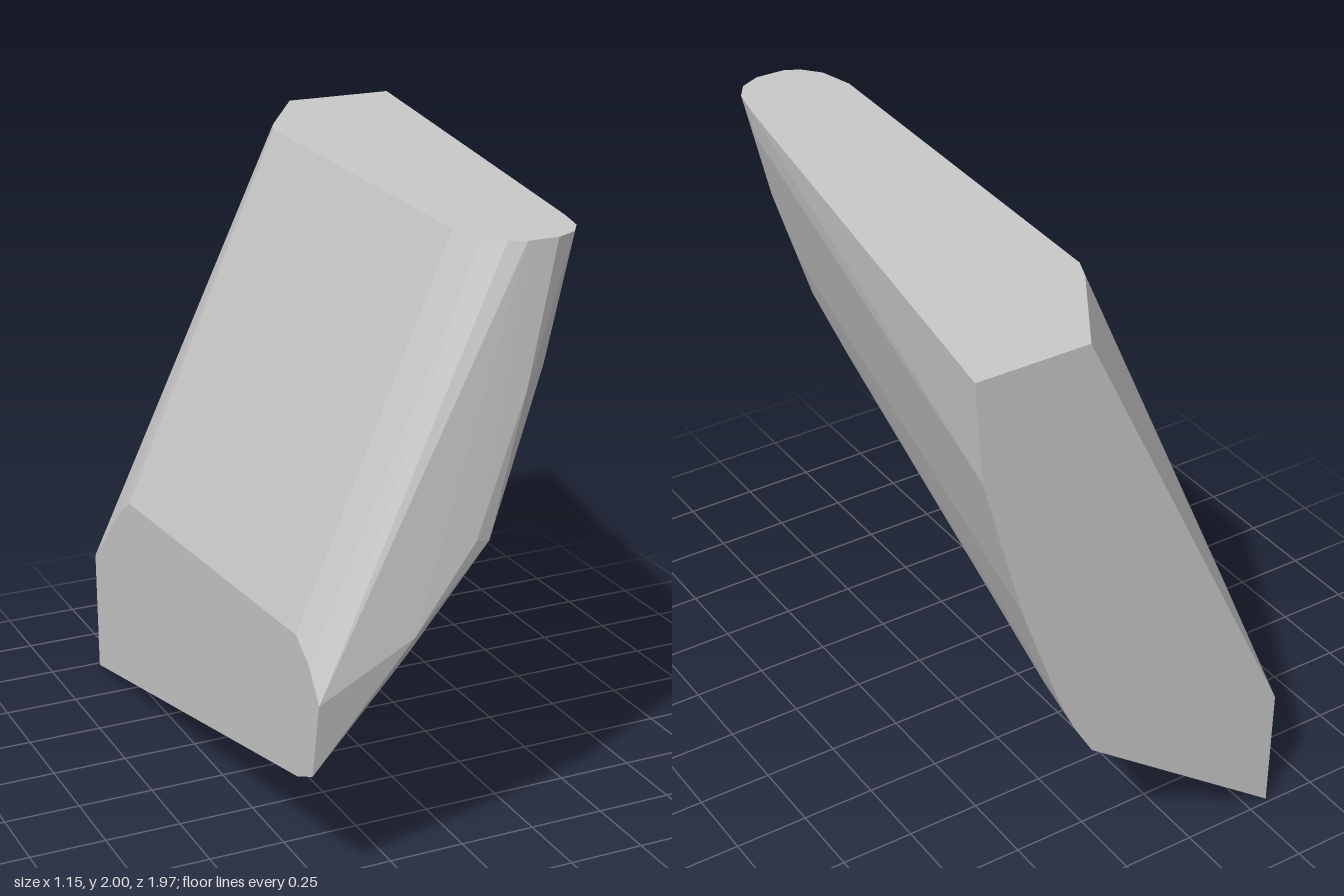
import * as THREE from 'three';
import { ConvexGeometry } from 'three/addons/geometries/ConvexGeometry.js';

export function createModel() {
  const group = new THREE.Group();
  group.name = 'curvedWedge';
  const grey = new THREE.MeshStandardMaterial({ color: 0xc9c9c9 });
  grey.name = 'plain grey';

  // Flat back end: bowed outer edge, straight inner edge (x, y)
  const back = [[0.575, 2], [0.55, 1.67], [0.41, 1.17], [0.27, 0.78], [0.21, 0.65],
    [0.145, 0.54], [-0.575, 0], [-0.575, 0.43], [0.2, 2]].map(([x, y]) => [x, y, -0.985]);

  // Flat top outline, rounded towards the front (x, z)
  const top = [[0, -0.67], [-0.03, -0.6], [-0.08, 0.78], [-0.05, 0.9], [0, 0.96],
    [0.05, 0.985], [0.15, 0.985], [0.22, 0.95], [0.26, 0.89], [0.285, 0.78]].map(([x, z]) => [x, 2, z]);

  // Flat side cut (y, z)
  const side = [[0.38, 0.78], [0.43, 0.89], [0.68, 0.94], [0.78, 0.87], [0.84, 0.78],
    [0.76, -0.61], [0.7, -0.7]].map(([y, z]) => [-0.575, y, z]);

  // Bowed outer shoulder near the front (x, y)
  const shoulder = [[0.27, 1.9], [0.135, 1.42], [0.055, 1.2], [-0.045, 0.98],
    [-0.19, 0.75], [-0.28, 0.67]].map(([x, y]) => [x, y, 0.78]);

  // Rounding between shoulder and front, then the front ridge
  const rounding = [[0.17, 1.62, 0.88], [0.03, 1.2, 0.88], [-0.075, 0.98, 0.88], [-0.25, 0.75, 0.86],
    [0.13, 1.62, 0.95], [-0.015, 1.2, 0.95], [-0.04, 1.11, 0.96]];
  const ridge = [[0.06, 1.56, 0.983], [-0.09, 1.12, 0.975], [-0.28, 0.85, 0.965]];

  // Slight swell at the lower outer corner by the back
  const swell = [[0.165, 0.655, -0.75], [0.09, 0.58, -0.65]];

  const points = [...back, ...top, ...side, ...shoulder, ...rounding, ...ridge, ...swell]
    .map((p) => new THREE.Vector3(...p));
  const body = new THREE.Mesh(new ConvexGeometry(points), grey);
  body.name = 'wedgeBody';
  group.add(body);
  return group;
}
